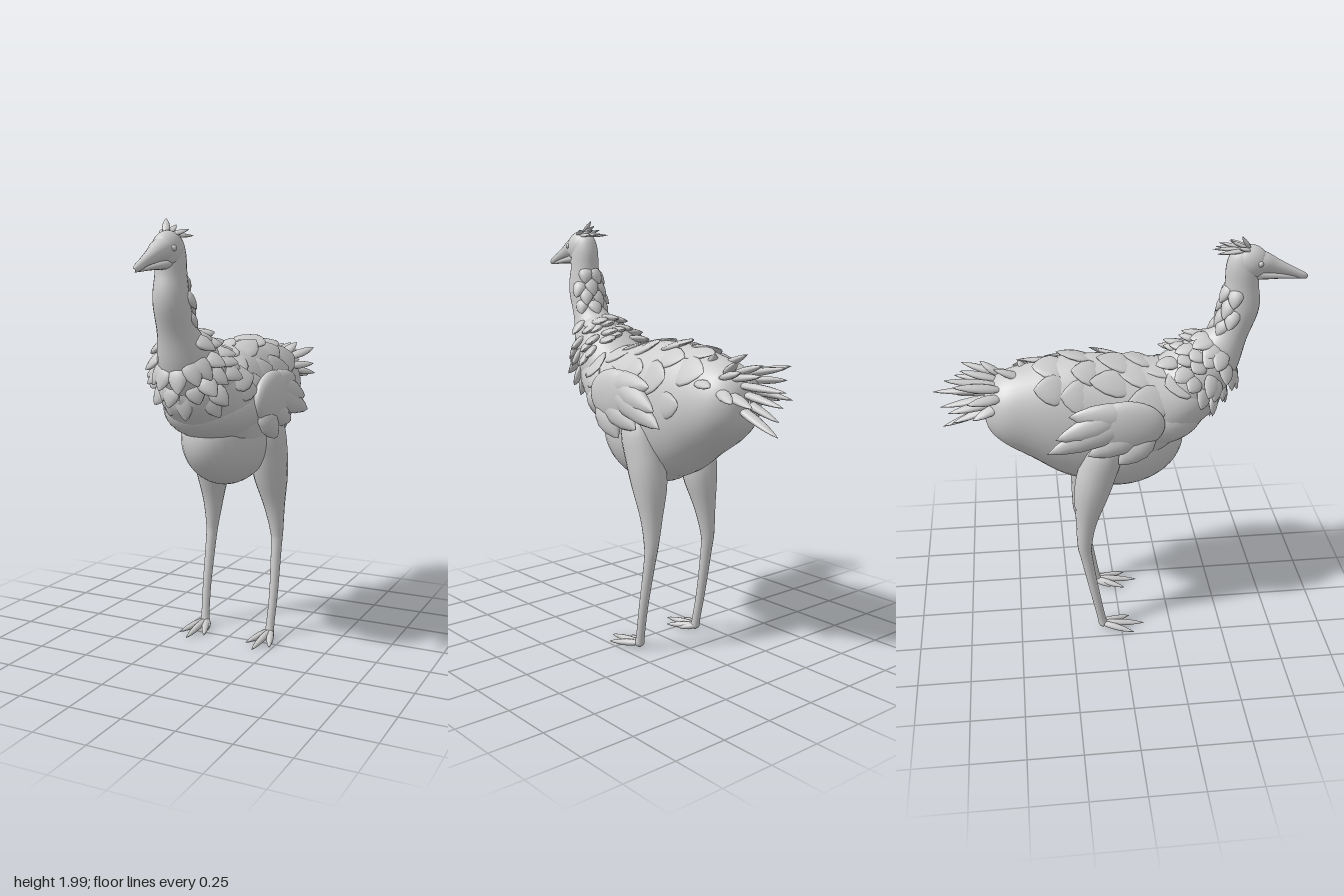
import * as THREE from 'three';
import { mergeGeometries } from 'three/addons/utils/BufferGeometryUtils.js';

const V = (x, y, z) => new THREE.Vector3(x, y, z);
const X = V(1, 0, 0);

// Small seeded random, returns -1..1
let seed = 7;
const rnd = () => {
  seed = (seed * 16807) % 2147483647;
  return (seed / 2147483647) * 2 - 1;
};

// Smooth tube through rows of [x, y, z, radiusX, radiusUp]; fixedT keeps all rings in one plane
function makeSurface(rows, fixedT) {
  const path = new THREE.CatmullRomCurve3(rows.map(r => V(r[0], r[1], r[2])), false, 'catmullrom');
  const radii = new THREE.CatmullRomCurve3(rows.map(r => V(r[3], r[4], 0)), false, 'catmullrom');
  const point = (t, a) => {
    const T = fixedT || path.getTangent(t);
    const up = T.clone().cross(X).normalize();
    const r = radii.getPoint(t);
    return path.getPoint(t)
      .addScaledVector(X, Math.cos(a) * Math.max(r.x, 0.001))
      .addScaledVector(up, Math.sin(a) * Math.max(r.y, 0.001));
  };
  // Point, outward normal and forward direction on the skin
  const frame = (t, a) => {
    const p = point(t, a);
    const forward = point(t + 0.01, a).sub(point(t - 0.01, a)).normalize();
    const around = point(t, a + 0.02).sub(point(t, a - 0.02)).normalize();
    return { p, forward, normal: around.clone().cross(forward).normalize() };
  };
  return { point, frame };
}

function loft(surface, steps = 32, sides = 24) {
  const pos = [], idx = [];
  for (let i = 0; i <= steps; i++)
    for (let j = 0; j < sides; j++) pos.push(...surface.point(i / steps, (j / sides) * Math.PI * 2).toArray());
  for (let i = 0; i < steps; i++)
    for (let j = 0; j < sides; j++) {
      const a = i * sides + j, b = i * sides + (j + 1) % sides;
      idx.push(a, b, a + sides, b, b + sides, a + sides);
    }
  const g = new THREE.BufferGeometry();
  g.setAttribute('position', new THREE.Float32BufferAttribute(pos, 3));
  g.setIndex(idx);
  g.computeVertexNormals();
  return g;
}

const ellipsoid = (center, rx, ry, rz) =>
  new THREE.SphereGeometry(1, 32, 24).scale(rx, ry, rz).translate(center.x, center.y, center.z);

// Leaf-shaped feather from base to tip, flattened along the given normal
const leaf = new THREE.LatheGeometry(
  [[0, 0], [0.28, 0.08], [0.45, 0.25], [0.5, 0.45], [0.4, 0.68], [0.2, 0.88], [0, 1]].map(p => new THREE.Vector2(...p)), 12);
function feather(base, tip, width, thick, normal) {
  const y = tip.clone().sub(base), len = y.length();
  y.normalize();
  const x = y.clone().cross(normal).normalize();
  const m = new THREE.Matrix4().makeBasis(x, y, x.clone().cross(y)).setPosition(base);
  return leaf.clone().scale(width, len, thick).applyMatrix4(m);
}

// Feather lying on a surface, its root sunk in, swept backwards and lifted at the tip
function layFeather(surface, t, a, len, width, thick, lift) {
  const { p, forward, normal } = surface.frame(t, a);
  const base = p.clone().addScaledVector(normal, -0.025);
  const tip = p.clone().addScaledVector(forward, -len).addScaledVector(normal, lift);
  return feather(base, tip, width, thick, normal);
}

export function createModel() {
  const model = new THREE.Group();
  const clay = new THREE.MeshStandardMaterial({ color: 0xcccccc });
  clay.name = 'light grey';
  const add = (name, geo) => {
    const mesh = new THREE.Mesh(geo, clay);
    mesh.name = name;
    model.add(mesh);
  };

  // Body, from the rump forward to the chest: z, underside, top, half width
  const body = makeSurface([
    [-0.615, 1.18, 1.24, 0.005], [-0.59, 1.1, 1.32, 0.095], [-0.52, 1.03, 1.375, 0.155], [-0.4, 0.95, 1.41, 0.18],
    [-0.25, 0.85, 1.44, 0.2], [-0.08, 0.81, 1.445, 0.21], [0.1, 0.89, 1.42, 0.215], [0.24, 1.01, 1.4, 0.205],
    [0.36, 1.09, 1.4, 0.165], [0.45, 1.16, 1.37, 0.1], [0.49, 1.23, 1.32, 0.005],
  ].map(([z, lo, hi, w]) => [0, (lo + hi) / 2, z, w, (hi - lo) / 2]), V(0, 0, 1));
  add('body', loft(body, 48, 32));
  add('belly', ellipsoid(V(0, 1.02, 0), 0.195, 0.245, 0.31));
  add('breast', ellipsoid(V(0, 1.16, 0.15), 0.225, 0.15, 0.255));

  // Broad, low feathers overlapping on the back
  const back = [];
  for (let row = 0; row < 5; row++)
    for (let k = 0; k < 5; k++) {
      const a = ((k + (row % 2) * 0.5) / 5 * 140 + 16 + rnd() * 8) * Math.PI / 180;
      back.push(layFeather(body, 0.4 + row * 0.09 + rnd() * 0.025, a, 0.19 + rnd() * 0.04, 0.14 + rnd() * 0.03, 0.03, 0.009 + rnd() * 0.01));
    }
  add('backFeathers', mergeGeometries(back));

  // Neck
  const neck = makeSurface([
    [0, 1.24, 0.23, 0.175, 0.155], [0, 1.332, 0.352, 0.165, 0.158], [0, 1.425, 0.44, 0.12, 0.128], [0, 1.535, 0.507, 0.083, 0.084],
    [0, 1.66, 0.547, 0.076, 0.086], [0, 1.76, 0.548, 0.066, 0.075], [0, 1.85, 0.548, 0.06, 0.072],
    [0, 1.91, 0.555, 0.042, 0.052], [0, 1.94, 0.56, 0.002, 0.002],
  ]);
  add('neck', loft(neck, 48, 24));
  add('head', ellipsoid(V(0, 1.86, 0.573), 0.062, 0.08, 0.085));

  // Ruff around the base of the neck
  const ruff = [];
  for (let row = 0; row < 4; row++)
    for (let k = 0; k < 13; k++) {
      const a = ((k + (row % 2) * 0.5) / 13) * Math.PI * 2 + rnd() * 0.15;
      if (row === 3 && Math.sin(a) < -0.1) continue;
      const len = 0.1 - Math.max(Math.sin(a), 0) * 0.02 + rnd() * 0.02;
      ruff.push(layFeather(neck, 0.15 + row * 0.06 + rnd() * 0.018, a, len, 0.085, 0.034, 0.036 + rnd() * 0.016));
    }
  add('ruff', mergeGeometries(ruff));

  // Tufts down the nape
  const nape = [];
  for (let row = 0; row < 4; row++)
    for (let k = 0; k < 3; k++) {
      const a = Math.PI / 2 + (k - 1 + (row % 2 - 0.5) * 0.5) * 0.85;
      nape.push(layFeather(neck, 0.43 + row * 0.068 + rnd() * 0.015, a, 0.095 + rnd() * 0.015, 0.07, 0.045, 0.02 + rnd() * 0.008));
    }
  add('napeFeathers', mergeGeometries(nape));

  // Beak
  add('upperBeak', loft(makeSurface([
    [0, 1.865, 0.57, 0.055, 0.06], [0, 1.857, 0.635, 0.05, 0.05], [0, 1.84, 0.69, 0.034, 0.035],
    [0, 1.815, 0.76, 0.021, 0.022], [0, 1.79, 0.82, 0.014, 0.016], [0, 1.782, 0.84, 0.004, 0.008],
  ]), 24, 16));
  add('lowerBeak', loft(makeSurface([
    [0, 1.815, 0.56, 0.045, 0.034], [0, 1.805, 0.63, 0.038, 0.024], [0, 1.794, 0.72, 0.022, 0.014], [0, 1.779, 0.815, 0.005, 0.005],
  ]), 16, 12));

  // Crest: tips as x, y, z
  add('crest', mergeGeometries([
    [0, 1.925, 0.41], [0.045, 1.92, 0.43], [-0.05, 1.92, 0.42], [-0.03, 1.99, 0.53], [0.025, 1.945, 0.44],
    [-0.01, 1.965, 0.48], [0.06, 1.945, 0.5], [-0.065, 1.945, 0.51],
  ].map(t => feather(V(t[0] * 0.2, 1.92, 0.575), V(...t), 0.034, 0.018, V(0.1, 1, 0.35)))));

  // Tail fan: tips as x, y, z
  add('tail', mergeGeometries([
    [0.02, 1.29, -0.84], [-0.05, 1.38, -0.78], [0.06, 1.35, -0.74], [0.2, 1.3, -0.58], [-0.16, 1.31, -0.68], [0.15, 1.37, -0.71],
    [-0.12, 1.38, -0.74], [0.02, 1.39, -0.71], [-0.04, 1.42, -0.56], [0.09, 1.4, -0.62], [-0.1, 1.24, -0.77], [0.11, 1.22, -0.74],
    [-0.03, 1.15, -0.76], [0.03, 1.1, -0.81], [0.17, 1.24, -0.68], [-0.14, 1.22, -0.66], [0, 1.22, -0.81], [0.05, 1.42, -0.45],
  ].map(t => {
    const base = V(t[0] * 0.55, 1.29 + (t[1] - 1.28) * 0.4, t[2] > -0.6 ? -0.4 : -0.52);
    return feather(base, V(...t), 0.058, 0.034, V(t[0], 0.6, 0.1));
  })));

  for (const s of [1, -1]) {
    const side = s > 0 ? 'left' : 'right';
    const P = (x, y, z) => V(s * x, y, z);

    add(side + 'Eye', ellipsoid(P(0.05, 1.868, 0.614), 0.013, 0.013, 0.013));

    // Folded wing with trailing feathers: base y, z; tip x, y, z; width
    const wing = [
      [1.25, 0.08, 0.24, 1.27, -0.24, 0.13], [1.25, 0.08, 0.265, 1.1, -0.34, 0.13],
      [1.18, 0.1, 0.25, 1.07, -0.16, 0.13], [1.16, 0.14, 0.24, 1.01, -0.02, 0.13], [1.26, 0.02, 0.265, 1.17, -0.3, 0.12],
    ].map(([y0, z0, x1, y1, z1, w]) => feather(P(0.228, y0, z0), P(x1, y1, z1), w, 0.08, P(1, 0.1, 0)));
    add(side + 'Wing', mergeGeometries([ellipsoid(P(0.228, 1.2, 0.01), 0.05, 0.125, 0.18), ...wing]));

    // Leg from hip to ankle
    add(side + 'Leg', loft(makeSurface([
      [0.165, 1.17, -0.04, 0.01, 0.01], [0.17, 1.06, -0.07, 0.072, 0.08], [0.162, 0.92, -0.112, 0.085, 0.09],
      [0.156, 0.8, -0.14, 0.084, 0.08], [0.165, 0.65, -0.165, 0.053, 0.05], [0.175, 0.52, -0.175, 0.032, 0.035],
      [0.178, 0.44, -0.166, 0.026, 0.028], [0.182, 0.22, -0.127, 0.021, 0.022], [0.178, 0.07, -0.099, 0.02, 0.02],
      [0.177, 0.025, -0.091, 0.022, 0.02], [0.177, 0.008, -0.09, 0.002, 0.002],
    ].map(r => [s * r[0], ...r.slice(1)])), 44, 16));

    // Toes
    add(side + 'Foot', mergeGeometries([
      [0.175, 0.12], [0.24, 0.06], [0.112, 0.05], [0.125, -0.02],
    ].map(([x, z]) => feather(P(0.177, 0.034, -0.11), P(x, 0.008, z), 0.036, 0.032, V(0, 1, 0)))));
  }
  return model;
}
